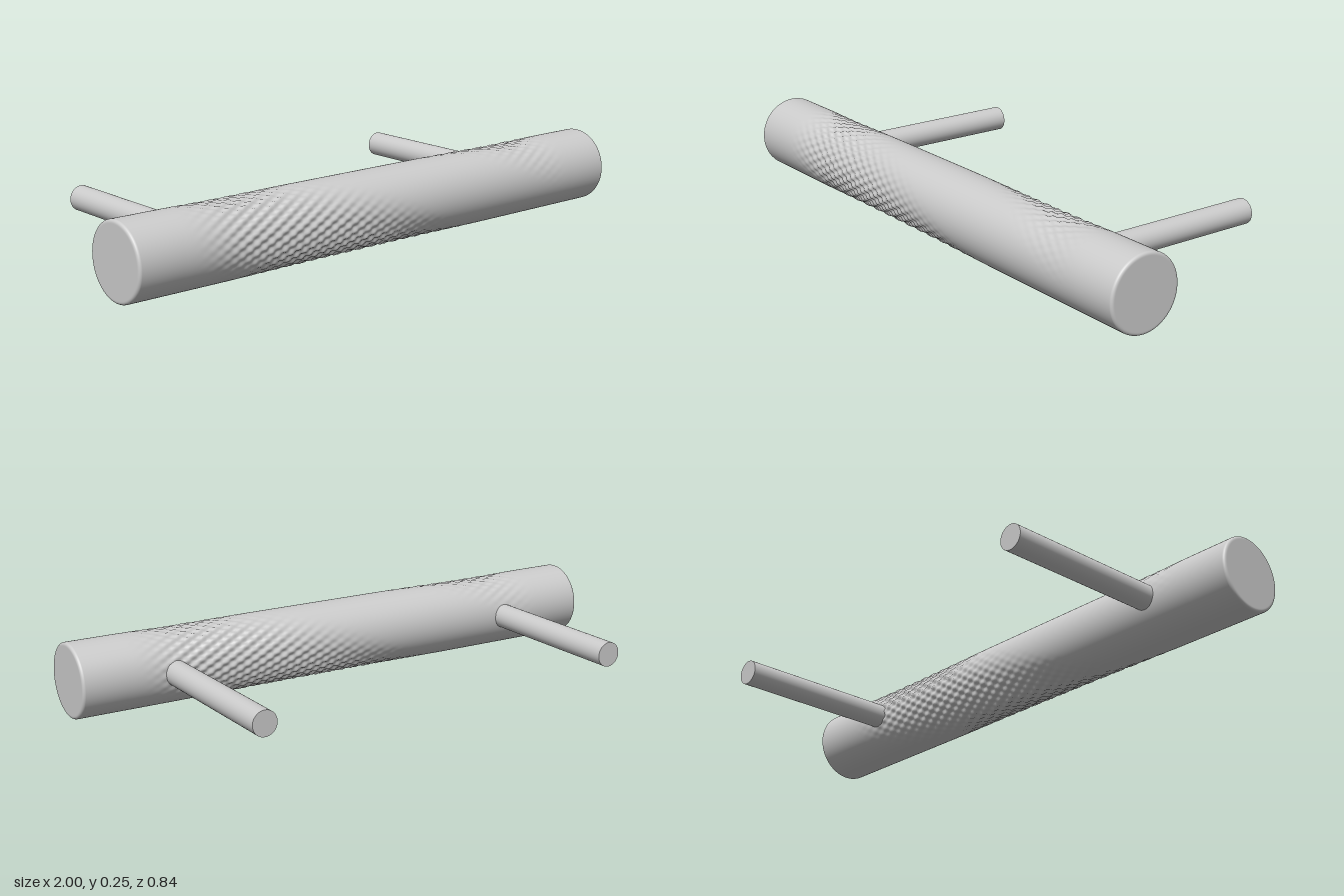
import * as THREE from 'three';
import { mergeVertices } from 'three/addons/utils/BufferGeometryUtils.js';

const RADIUS = 0.127, BAR_Z = 0.293, BEVEL = 0.01;
const material = new THREE.MeshStandardMaterial({ color: 0xcccccc, roughness: 0.6 });

// Strength of the knurling: a soft band that winds once around the bar and fades near the ends
function bandStrength(x, angle) {
  const pitch = 1.6;
  const centre = -0.4 - (angle / (2 * Math.PI)) * pitch;
  const u = x - centre;
  const distance = Math.abs(u - pitch * Math.round(u / pitch));
  const band = 1 - THREE.MathUtils.smoothstep(distance, 0.12, 0.55);
  const ends = 1 - THREE.MathUtils.smoothstep(Math.abs(x), 0.58, 0.82);
  return band * ends;
}

// Round bar with softened end edges and a dimpled grip
function makeBar() {
  const profile = [new THREE.Vector2(0, -1), new THREE.Vector2(RADIUS - BEVEL - 0.003, -1)];
  const corner = (sign, t) => new THREE.Vector2(
    RADIUS - BEVEL + BEVEL * Math.sin(t), sign * (1 - BEVEL + BEVEL * Math.cos(t)));
  for (let i = 0; i <= 5; i++) profile.push(corner(-1, (i / 5) * Math.PI / 2));
  const rings = 260;
  for (let i = 0; i <= rings; i++) profile.push(new THREE.Vector2(RADIUS, -0.84 + (1.68 * i) / rings));
  for (let i = 5; i >= 0; i--) profile.push(corner(1, (i / 5) * Math.PI / 2));
  profile.push(new THREE.Vector2(RADIUS - BEVEL - 0.003, 1), new THREE.Vector2(0, 1));

  let geometry = new THREE.LatheGeometry(profile, 192);
  geometry.rotateZ(-Math.PI / 2);

  // Weld the seam so the smooth normals run all the way round
  geometry.deleteAttribute('uv');
  geometry.deleteAttribute('normal');
  geometry = mergeVertices(geometry, 1e-5);

  // Press in the rows of dimples
  const p = geometry.attributes.position;
  for (let i = 0; i < p.count; i++) {
    const x = p.getX(i), y = p.getY(i), z = p.getZ(i);
    if (Math.abs(x) > 0.85) continue;
    const angle = Math.atan2(y, z);
    const wave = Math.sin(x * 2 * Math.PI / 0.056) * Math.sin(24 * angle + 14 * x);
    const scale = 1 - bandStrength(x, angle) * (0.006 - 0.005 * wave) / RADIUS;
    p.setXYZ(i, x, y * scale, z * scale);
  }
  geometry.computeVertexNormals();
  const bar = new THREE.Mesh(geometry, material);
  bar.name = 'gripBar';
  bar.position.set(0, RADIUS, BAR_Z);
  return bar;
}

// Straight mounting post running back from the bar
function makePost(x, name) {
  const back = -0.42, front = 0.23;
  const geometry = new THREE.CylinderGeometry(0.043, 0.043, front - back, 48);
  geometry.rotateX(Math.PI / 2);
  const post = new THREE.Mesh(geometry, material);
  post.name = name;
  post.position.set(x, RADIUS + 0.001, (front + back) / 2);
  return post;
}

export function createModel() {
  const model = new THREE.Group();
  model.name = 'pullHandle';
  model.add(makeBar(), makePost(0.666, 'leftPost'), makePost(-0.666, 'rightPost'));
  return model;
}
